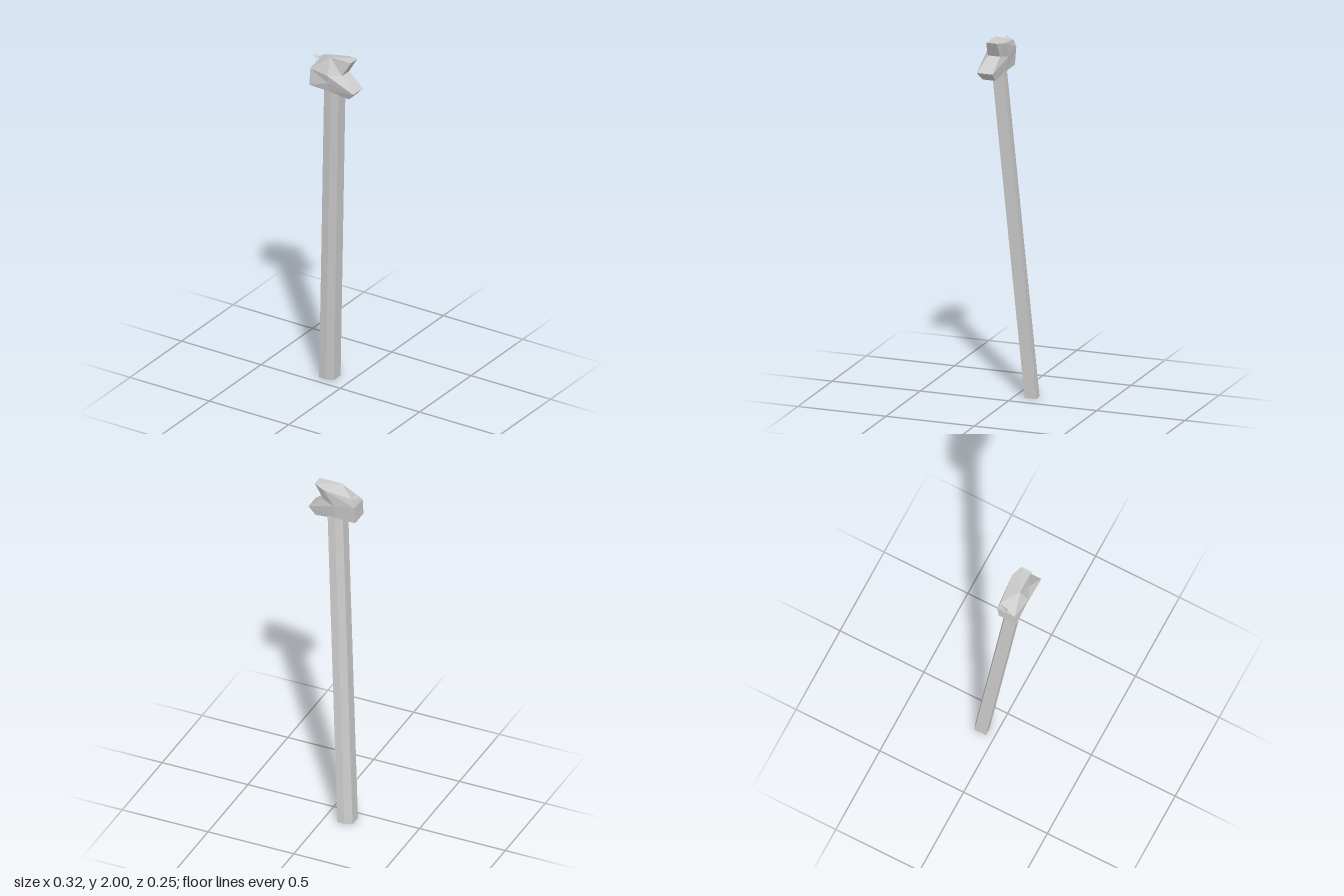
import * as THREE from 'three';

const material = () =>
  new THREE.MeshStandardMaterial({ color: 0xcccccc, flatShading: true, side: THREE.DoubleSide });

// Faceted mesh from corner points and triangles
function faceted(name, points, faces) {
  const geometry = new THREE.BufferGeometry();
  const corners = faces.flat().flatMap((i) => points[i]);
  geometry.setAttribute('position', new THREE.Float32BufferAttribute(corners, 3));
  geometry.computeVertexNormals();
  const mesh = new THREE.Mesh(geometry, material());
  mesh.name = name;
  return mesh;
}

// Six-sided pole, sheared so that it leans towards the front and the model's left
function makePole() {
  const outline = [
    [-0.162, -0.112], [-0.122, -0.127], [-0.08, -0.127],
    [-0.08, -0.06], [-0.12, -0.045], [-0.162, -0.045],
  ];
  const shape = new THREE.Shape(outline.map(([x, z]) => new THREE.Vector2(x, -z)));
  const geometry = new THREE.ExtrudeGeometry(shape, { depth: 1.82, bevelEnabled: false });
  geometry.rotateX(-Math.PI / 2);
  const lean = new THREE.Matrix4().set(
    1, 0.12 / 1.81, 0, 0,
    0, 1, 0, 0,
    0, 0.137 / 1.81, 1, 0,
    0, 0, 0, 1);
  geometry.applyMatrix4(lean);
  const mesh = new THREE.Mesh(geometry, material());
  mesh.name = 'pole';
  return mesh;
}

// Angular head with an overhanging crown and a notch above the jaw
function makeHead() {
  const points = [
    // crown: front, tip front, tip back, back, rear corner
    [-0.01, 2.0, 0.08], [0.12, 2.0, 0.08], [0.12, 2.0, 0.02], [0.06, 1.99, -0.004], [-0.1, 1.965, 0.01],
    // notch front and back, cheek, rear front and back
    [0.07, 1.915, 0.09], [0.07, 1.915, 0.02], [0, 1.91, 0.125], [-0.12, 1.915, 0.105], [-0.12, 1.92, 0.002],
    // jaw tip, upper and lower edges
    [0.16, 1.84, 0.118], [0.16, 1.84, 0.028], [0.12, 1.795, 0.1], [0.12, 1.795, 0.03],
    // underside: rear pair and middle pair
    [-0.12, 1.82, 0.115], [-0.12, 1.82, 0.01], [0, 1.81, 0.105], [0, 1.82, 0.01],
    // back cheek and front fold
    [0, 1.9, 0.0], [0, 1.865, 0.118],
  ];
  const front = [
    [4, 8, 0], [0, 8, 7], [0, 7, 5], [0, 5, 1], [7, 10, 5], [7, 19, 10],
    [8, 14, 19], [8, 19, 7], [19, 14, 16], [19, 16, 10], [16, 12, 10],
  ];
  const back = [
    [3, 9, 4], [3, 18, 9], [3, 6, 18], [3, 2, 6], [18, 6, 11],
    [18, 17, 9], [9, 17, 15], [18, 11, 17], [17, 11, 13],
  ];
  const top = [[0, 1, 2], [0, 2, 3], [0, 3, 4]];
  const ends = [
    [4, 9, 8], [9, 15, 14], [9, 14, 8],
    [1, 5, 6], [1, 6, 2], [5, 10, 11], [5, 11, 6], [10, 12, 13], [10, 13, 11],
  ];
  const underside = [[14, 15, 17], [14, 17, 16], [16, 17, 13], [16, 13, 12]];
  return faceted('head', points, [...front, ...back, ...top, ...ends, ...underside]);
}

// Small bent flap at the rear of the crown
function makeFlap() {
  const points = [
    [-0.105, 1.96, 0.02], [-0.135, 1.975, 0.062], [-0.113, 1.955, 0.062], [-0.092, 1.965, 0.06],
  ];
  return faceted('flap', points, [[0, 1, 2], [0, 2, 3]]);
}

export function createModel() {
  const model = new THREE.Group();
  model.name = 'headOnPole';
  model.add(makePole(), makeHead(), makeFlap());
  return model;
}
